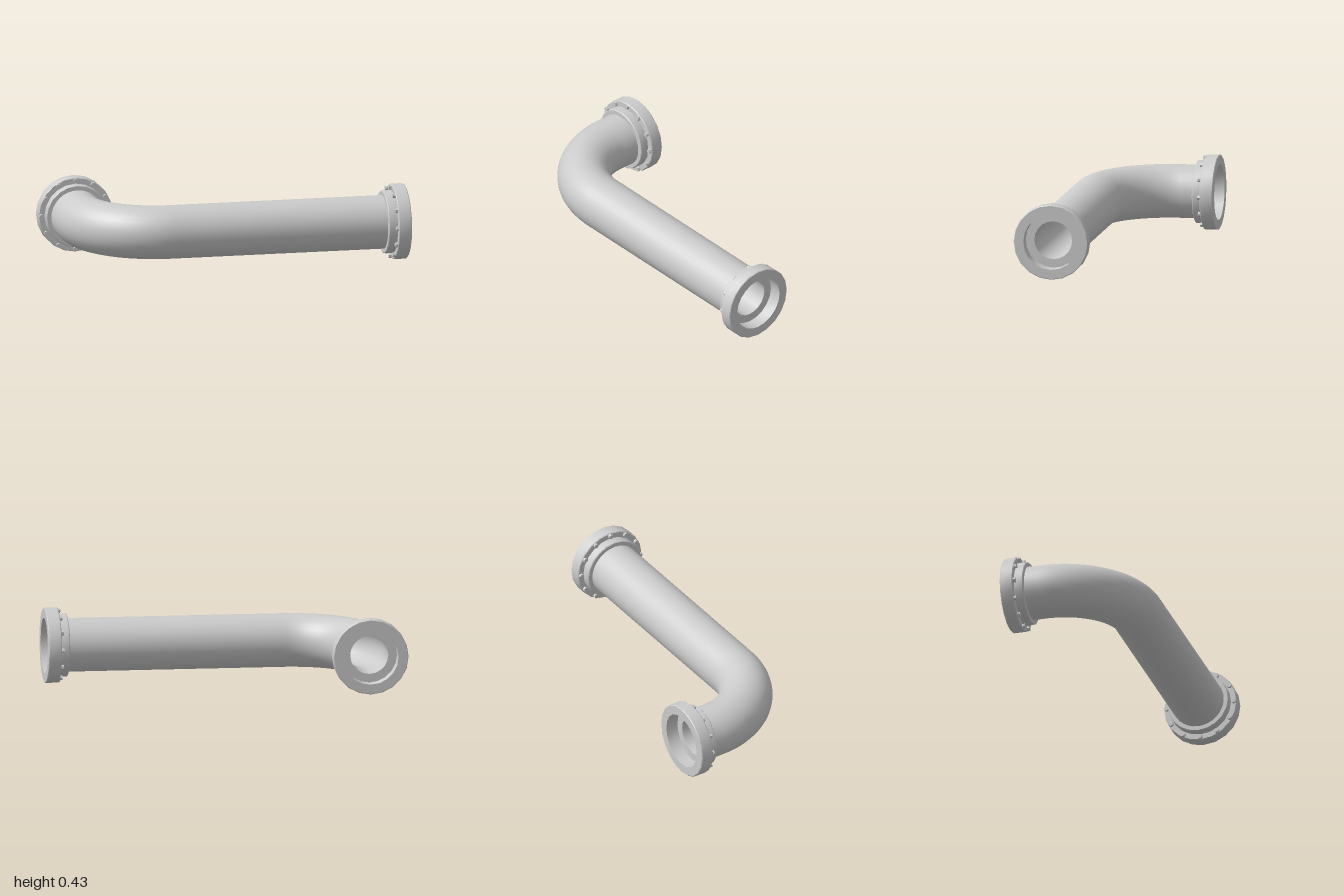
import * as THREE from 'three';
import { toCreasedNormals } from 'three/addons/utils/BufferGeometryUtils.js';

const AXIS_Y = 0.218, PIPE_Z = 0.207, LEG_X = -0.785;
const OUTER = 0.152, BORE = 0.109, BEND = 0.425, RECESS = 0.075;
const END_X = 1, END_Z = -0.422;

const grey = new THREE.MeshStandardMaterial({ color: 0xcccccc });
const greyInside = new THREE.MeshStandardMaterial({ color: 0xcccccc, side: THREE.BackSide });

function part(name, geometry, material = grey) {
  const mesh = new THREE.Mesh(geometry, material);
  mesh.name = name;
  return mesh;
}

// Centre line: long run, quarter bend, short leg
function pipePath() {
  const v = (x, z) => new THREE.Vector3(x, AXIS_Y, z);
  const a = v(LEG_X + BEND, PIPE_Z), b = v(LEG_X, PIPE_Z - BEND);
  const k = BEND * 0.5523;
  const path = new THREE.CurvePath();
  path.add(new THREE.LineCurve3(v(END_X - RECESS, PIPE_Z), a));
  path.add(new THREE.CubicBezierCurve3(a, v(a.x - k, a.z), v(b.x, b.z + k), b));
  path.add(new THREE.LineCurve3(b, v(LEG_X, END_Z + RECESS)));
  return path;
}

// Flange with collar, recessed socket and a ring of bolts; its open face is at y = 0
function makeFlange(name) {
  const flange = new THREE.Group();
  flange.name = name;
  const c = 0.004;
  const profile = [
    [OUTER - 0.01, -0.126], [0.18 - c, -0.126], [0.18, -0.126 + c], [0.18, -RECESS],
    [0.215 - c, -RECESS], [0.215, -RECESS + c], [0.215, -c], [0.215 - c, 0],
    [0.158, 0], [0.158, -RECESS], [BORE, -RECESS],
  ].map(([r, y]) => new THREE.Vector2(r, y));
  flange.add(part('flangeRing', toCreasedNormals(new THREE.LatheGeometry(profile, 20), 0.6)));

  const boltGeometry = toCreasedNormals(new THREE.CylinderGeometry(0.0135, 0.0135, 0.02, 6), 0.6);
  for (let i = 0; i < 12; i++) {
    const angle = (i / 12) * Math.PI * 2;
    const bolt = part('bolt', boltGeometry);
    bolt.position.set(Math.sin(angle) * 0.198, -RECESS - 0.005, Math.cos(angle) * 0.198);
    bolt.rotation.y = angle;
    flange.add(bolt);
  }
  return flange;
}

export function createModel() {
  const model = new THREE.Group();
  model.name = 'elbowPipe';

  // Pipe wall, outside and bore
  const path = pipePath();
  model.add(part('pipeOuter', new THREE.TubeGeometry(path, 64, OUTER, 32)));
  model.add(part('pipeBore', new THREE.TubeGeometry(path, 64, BORE, 20), greyInside));

  // Flanges on both ends
  const sideFlange = makeFlange('sideFlange');
  sideFlange.position.set(END_X, AXIS_Y, PIPE_Z);
  sideFlange.rotation.z = -Math.PI / 2;
  const backFlange = makeFlange('backFlange');
  backFlange.position.set(LEG_X, AXIS_Y, END_Z);
  backFlange.rotation.x = -Math.PI / 2;
  model.add(sideFlange, backFlange);
  return model;
}
